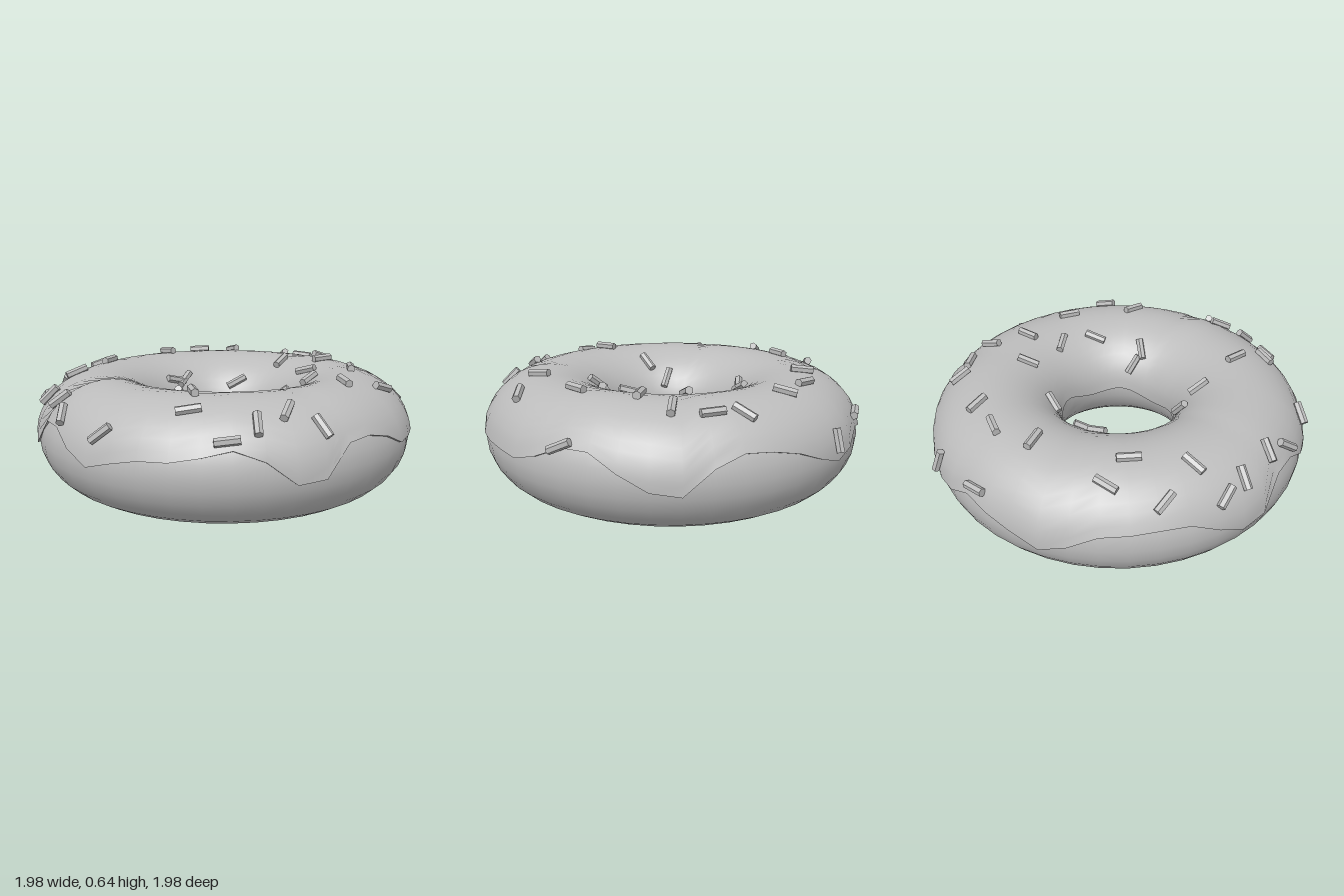
import * as THREE from 'three';

const RING = 0.65;    // radius of the ring's centre line
const MID = 0.295;    // height of the ring's centre line
const SEGMENTS = 44;

// Point on the ring: t turns from +z towards +x, a runs round the tube from outside over the top
function ringPoint(t, a, w, h) {
  const r = RING + w * Math.cos(a);
  return [r * Math.sin(t), MID + h * Math.sin(a), r * Math.cos(t)];
}

// Closed band of quads: point(i, j) for each segment i and row j
function band(point, rows, closeRows = false) {
  const pos = [], idx = [];
  const count = closeRows ? rows : rows + 1;
  for (let j = 0; j < count; j++) {
    for (let i = 0; i < SEGMENTS; i++) pos.push(...point(i, j));
  }
  for (let j = 0; j < rows; j++) {
    for (let i = 0; i < SEGMENTS; i++) {
      const k = (i + 1) % SEGMENTS, up = ((j + 1) % count) * SEGMENTS, lo = j * SEGMENTS;
      idx.push(lo + i, lo + k, up + k, lo + i, up + k, up + i);
    }
  }
  const g = new THREE.BufferGeometry();
  g.setAttribute('position', new THREE.Float32BufferAttribute(pos, 3));
  g.setIndex(idx);
  g.computeVertexNormals();
  return g;
}

// Height of the dripping outer icing edge at each segment
const OUTER_EDGE = [
  0.33, 0.36, 0.365, 0.39, 0.42, 0.37, 0.26, 0.27, 0.41, 0.42, 0.39,
  0.33, 0.33, 0.33, 0.32, 0.36, 0.42, 0.42, 0.345, 0.27, 0.25, 0.37,
  0.42, 0.41, 0.38, 0.325, 0.28, 0.31, 0.375, 0.345, 0.31, 0.25, 0.31,
  0.38, 0.39, 0.40, 0.395, 0.33, 0.26, 0.28, 0.42, 0.42, 0.35, 0.29,
];

// Sprinkles: x, z and heading in degrees seen from above
const SPRINKLES_BACK = [
  [-0.53, -0.84, 80], [-0.76, -0.59, -55], [-0.5, -0.55, -28], [-0.33, -0.67, 33],
  [-0.05, -0.83, 50], [0.09, -0.81, 2], [0.25, -0.73, -65], [0.73, -0.63, 35],
  [0.1, -0.5, -87], [0.34, -0.54, -60], [-0.6, -0.34, 20], [-0.11, -0.34, -40],
  [0.33, -0.35, 6], [0.59, -0.34, 65], [0.43, -0.17, -80], [0.83, -0.15, -70],
  [-0.35, -0.14, 85], [-0.37, -0.08, -65],
];
const SPRINKLES_FRONT = [
  [0.7, 0.03, 45], [0.34, 0.06, 50], [0.39, 0.1, -15], [-0.83, 0.02, -65],
  [-0.69, 0.11, 80], [-0.86, 0.28, 40], [-0.68, 0.4, -55], [-0.76, 0.55, 30],
  [-0.66, 0.63, -30], [-0.09, 0.34, -45], [0, 0.43, 70], [0.2, 0.62, 48],
  [0.28, 0.78, -35], [0.64, 0.55, 80], [0.78, 0.49, 10], [0.57, 0.69, 55],
  [0.49, 0.81, -35], [-0.48, 0.75, -28], [-0.38, 0.85, 60], [-0.07, 0.95, -25],
];

export function createModel() {
  const grey = new THREE.MeshStandardMaterial({ color: 0xbcbcbc });
  grey.name = 'plain grey';
  const model = new THREE.Group();
  model.name = 'doughnut';
  const add = (parent, name, geometry) => {
    const mesh = new THREE.Mesh(geometry, grey);
    mesh.name = name;
    parent.add(mesh);
    return mesh;
  };
  const turn = (i) => (i / SEGMENTS) * Math.PI * 2;

  // Dough ring
  add(model, 'dough', band((i, j) => ringPoint(turn(i), (j / 28) * Math.PI * 2, 0.335, 0.295), 28, true));

  // Icing shell between its wavy outer and inner edges
  const W = 0.347, H = 0.305, ROWS = 18;
  const outer = (i) => Math.asin((OUTER_EDGE[i] - MID) / H);
  const inner = (i) => {
    const t = turn(i);
    const y = 0.295 + 0.035 * Math.cos(t - 3.75) + 0.02 * Math.sin(5 * t);
    return Math.PI - Math.asin((y - MID) / H);
  };
  const icing = new THREE.Group();
  icing.name = 'icing';
  model.add(icing);
  add(icing, 'icingTop', band((i, j) =>
    ringPoint(turn(i), THREE.MathUtils.lerp(outer(i), inner(i), j / ROWS), W, H), ROWS));
  // Thin rims that close the shell against the dough
  add(icing, 'icingOuterRim', band((i, j) =>
    ringPoint(turn(i), outer(i), j ? W : 0.33, j ? H : 0.29), 1));
  add(icing, 'icingInnerRim', band((i, j) =>
    ringPoint(turn(i), inner(i), j ? 0.33 : W, j ? 0.29 : H), 1));

  // Six-sided sprinkles lying on the icing
  const stick = new THREE.CylinderGeometry(0.021, 0.021, 0.115, 6).toNonIndexed();
  stick.computeVertexNormals();
  const sprinkles = new THREE.Group();
  sprinkles.name = 'sprinkles';
  model.add(sprinkles);
  for (const [x, z, degrees] of [...SPRINKLES_BACK, ...SPRINKLES_FRONT]) {
    const rho = Math.hypot(x, z);
    const u = THREE.MathUtils.clamp((rho - RING) / W, -0.96, 0.96);
    const v = Math.sqrt(1 - u * u);
    const r = RING + u * W;
    const normal = new THREE.Vector3((u / W) * (x / rho), v / H, (u / W) * (z / rho)).normalize();
    // Tilt the heading so that it follows the surface
    const a = THREE.MathUtils.degToRad(degrees);
    const dir = new THREE.Vector3(Math.cos(a), 0, Math.sin(a));
    dir.y = -(dir.x * normal.x + dir.z * normal.z) / normal.y;
    dir.normalize();
    const side = new THREE.Vector3().crossVectors(dir, normal);
    const mesh = add(sprinkles, 'sprinkle', stick);
    mesh.quaternion.setFromRotationMatrix(new THREE.Matrix4().makeBasis(side, dir, normal.clone().negate()));
    // Keep the basis right-handed
    mesh.quaternion.setFromRotationMatrix(new THREE.Matrix4().makeBasis(side.negate(), dir, side.clone().cross(dir)));
    mesh.position.set((r * x) / rho, MID + H * v, (r * z) / rho).addScaledVector(normal, 0.012);
  }
  return model;
}
